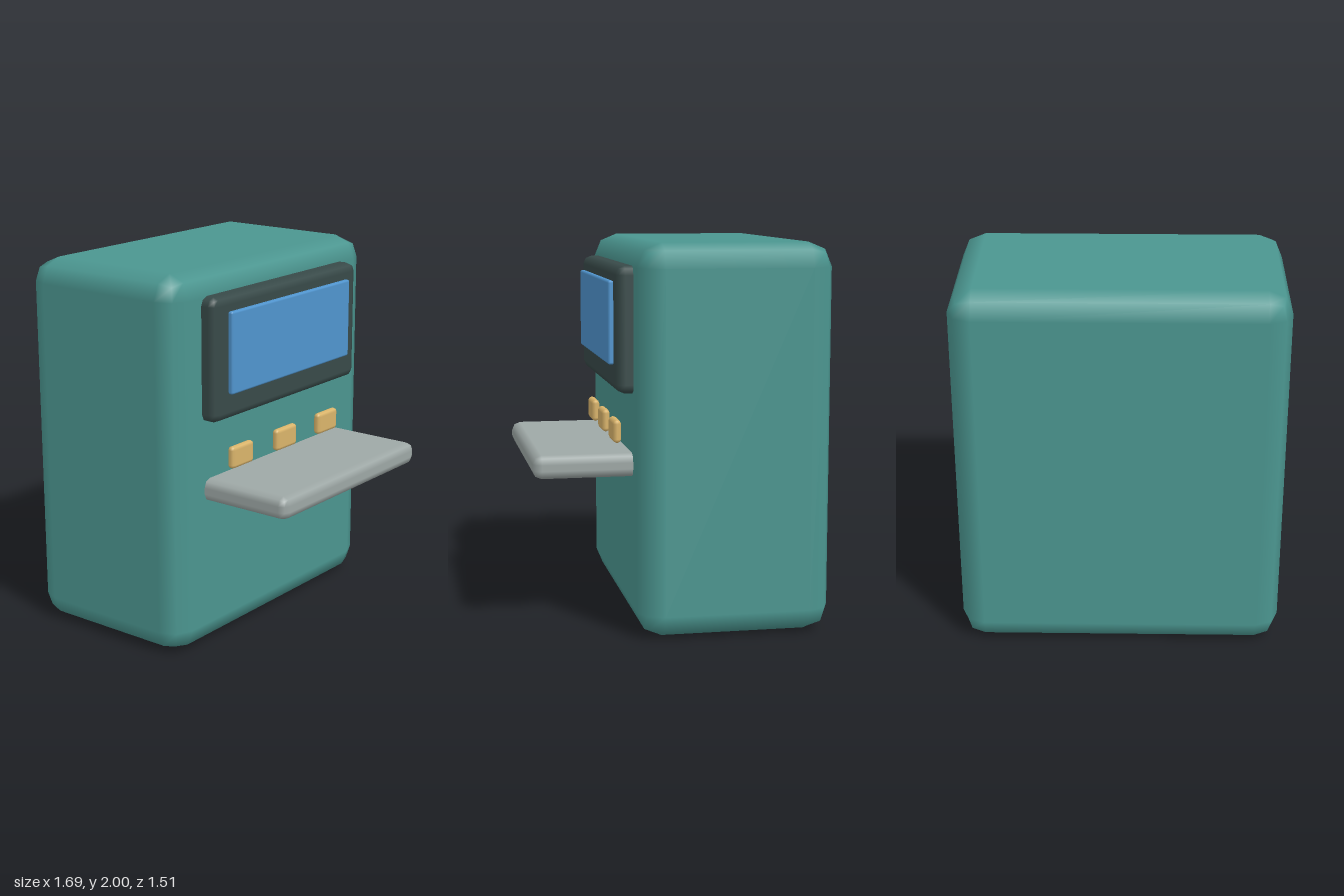
import * as THREE from 'three';
import { RoundedBoxGeometry } from 'three/addons/geometries/RoundedBoxGeometry.js';

const paint = (name, color) => {
  const material = new THREE.MeshStandardMaterial({ color });
  material.name = name;
  return material;
};

export function createModel() {
  const teal = paint('teal', 0x4b9690);
  const charcoal = paint('charcoal', 0x384a49);
  const blue = paint('blue', 0x5095cf);
  const gold = paint('gold', 0xdbb56b);
  const grey = paint('grey', 0x9ea8a6);

  const model = new THREE.Group();
  model.name = 'consoleCabinet';

  // Rounded block given by its [min, max] extents on each axis
  const block = (name, material, [x0, x1], [y0, y1], [z0, z1], radius, segments = 1) => {
    const geometry = new RoundedBoxGeometry(x1 - x0, y1 - y0, z1 - z0, segments, radius);
    const mesh = new THREE.Mesh(geometry, material);
    mesh.name = name;
    mesh.position.set((x0 + x1) / 2, (y0 + y1) / 2, (z0 + z1) / 2);
    model.add(mesh);
  };

  // Cabinet
  block('cabinet', teal, [-0.845, 0.845], [0, 2], [-0.755, 0.245], 0.125);

  // Display: dark surround and raised panel
  block('screenFrame', charcoal, [-0.63, 0.63], [1.235, 1.88], [0.19, 0.33], 0.045);
  block('screen', blue, [-0.523, 0.523], [1.375, 1.803], [0.325, 0.358], 0.012);

  // Row of buttons, standing just clear of the cabinet
  for (const x of [-0.385, 0, 0.385]) {
    block('button', gold, [x - 0.091, x + 0.091], [0.96, 1.08], [0.282, 0.325], 0.02);
  }

  // Shelf
  block('shelf', grey, [-0.613, 0.613], [0.805, 0.927], [0.15, 0.755], 0.045);

  return model;
}
